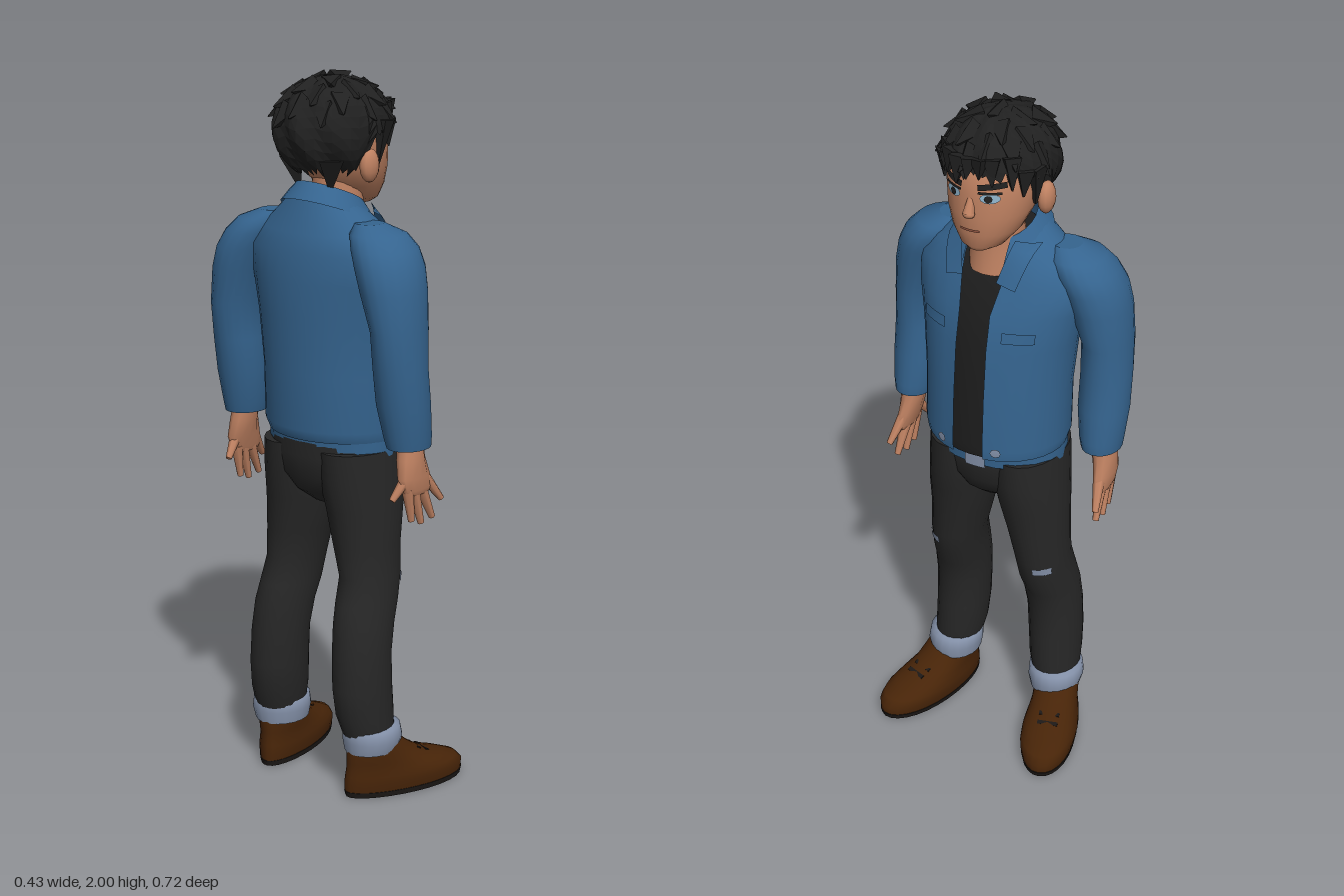
import * as THREE from 'three';

const mat = (name, color, double) => {
  const m = new THREE.MeshStandardMaterial({ color });
  m.name = name;
  if (double) m.side = THREE.DoubleSide;
  return m;
};

export function createModel() {
  const root = new THREE.Group();
  root.name = 'standingMan';
  const denim = mat('blueDenim', 0x35648f, true), trouser = mat('blackDenim', 0x272727);
  const skin = mat('skin', 0xc08262), hair = mat('blackHair', 0x202020, true);
  const leather = mat('brownLeather', 0x472408), sole = mat('darkSole', 0x1c1816);
  const cuff = mat('paleDenim', 0x8592aa, true), shirt = mat('blackShirt', 0x1d1d1d);
  const eye = mat('eyeBlue', 0x8fb4cc, true), lip = mat('lips', 0x965844, true);

  const add = (name, geo, material) => {
    const m = new THREE.Mesh(geo, material);
    m.name = name;
    root.add(m);
    return m;
  };

  // Stacked ellipses [y, cx, cz, rx, rz, tilt]; gap leaves a slot open at +x
  function loft(rings, { seg = 20, gap = 0, taper = 0 } = {}) {
    const rs = [...rings].sort((a, b) => a[0] - b[0]);
    const pos = [], idx = [], n = seg + 1;
    const ring = ([y, cx, cz, rx, rz, tilt = 0]) => {
      const a0 = gap ? Math.asin(Math.min(0.9, (y > 1.5 ? gap * 1.3 : gap) / rz)) : 0;
      for (let j = 0; j < n; j++) {
        const k = gap ? j : j % seg;
        const t = a0 + (2 * Math.PI - 2 * a0) * k / seg;
        const c = Math.cos(t);
        pos.push(cx + rx * c, y + tilt * rx * c, cz + rz * Math.sin(t) * (1 + taper * c));
      }
    };
    rs.forEach(ring);
    for (let i = 0; i < rs.length - 1; i++) for (let j = 0; j < seg; j++) {
      const a = i * n + j, b = gap ? a + 1 : i * n + (j + 1) % seg, c = a + n, d = b + n;
      idx.push(a, c, b, b, c, d);
    }
    if (!gap) for (const top of [0, 1]) {
      const r = rs[top ? rs.length - 1 : 0], base = pos.length / 3;
      ring(r);
      pos.push(r[1], r[0], r[2]);
      for (let j = 0; j < seg; j++)
        top ? idx.push(base + n, base + j + 1, base + j) : idx.push(base + n, base + j, base + j + 1);
    }
    const g = new THREE.BufferGeometry();
    g.setAttribute('position', new THREE.Float32BufferAttribute(pos, 3));
    g.setIndex(idx);
    g.computeVertexNormals();
    return g;
  }

  // Lay a flat shape on the +x face of a loft
  function patch(name, geo, rings, z0, y0, material, off = 0.004) {
    const rs = [...rings].sort((a, b) => a[0] - b[0]), p = geo.attributes.position;
    for (let i = 0; i < p.count; i++) {
      const z = z0 - p.getX(i), y = y0 + p.getY(i);
      let k = 0;
      while (k < rs.length - 2 && rs[k + 1][0] < y) k++;
      const t = THREE.MathUtils.clamp((y - rs[k][0]) / (rs[k + 1][0] - rs[k][0]), 0, 1);
      const [, cx, cz, rx, rz] = rs[k].map((v, q) => v + (rs[k + 1][q] - v) * t);
      p.setXYZ(i, cx + rx * Math.sqrt(Math.max(0, 1 - ((z - cz) / rz) ** 2)) + off, y, z);
    }
    geo.computeVertexNormals();
    add(name, geo, material);
  }

  // Tapered rod from a to b
  function rod(name, a, b, r0, r1, material, sides = 6, flat = 1) {
    const A = new THREE.Vector3(...a), d = new THREE.Vector3(...b).sub(A);
    let g = new THREE.CylinderGeometry(r1, r0, d.length(), sides);
    if (sides < 6) { g = g.toNonIndexed(); g.computeVertexNormals(); }
    const m = add(name, g, material);
    m.scale.z = flat;
    m.quaternion.setFromUnitVectors(new THREE.Vector3(0, 1, 0), d.clone().normalize());
    m.position.copy(A).addScaledVector(d, 0.5);
  }

  function ball(name, x, y, z, rx, ry, rz, material) {
    const m = add(name, new THREE.SphereGeometry(1, 12, 8), material);
    m.position.set(x, y, z);
    m.scale.set(rx, ry, rz);
    return m;
  }

  // Torso: jacket shell open over a shirt
  const jacket = [[1.02, -.025, 0, .17, .2], [1.05, -.03, 0, .178, .207], [1.2, -.035, 0, .175, .207],
    [1.35, -.045, 0, .17, .22], [1.45, -.055, 0, .158, .24], [1.53, -.07, 0, .137, .25],
    [1.58, -.07, 0, .122, .2], [1.63, -.065, 0, .103, .135, -.2], [1.655, -.06, 0, .092, .1, -.4]];
  add('jacket', loft(jacket, { seg: 32, gap: .045 }), denim);
  add('shirt', loft([...jacket.slice(0, 6).map(([y, x, z, a, b]) => [y, x, z, a - .01, b - .014]),
    [1.58, -.07, 0, .105, .17, -.3], [1.6, -.06, 0, .095, .1, -.4]], { seg: 32 }), shirt);
  add('jacketLining', loft([[.975, -.035, 0, .148, .198], [1.06, -.035, 0, .155, .198]]), denim);
  add('collar', loft([[1.615, -.055, 0, .128, .135, -.42], [1.65, -.055, 0, .108, .108, -.42],
    [1.675, -.055, 0, .09, .088, -.42]], { gap: .045 }), denim);

  // Hips
  add('hips', loft([[.82, -.035, 0, .06, .05], [.86, -.038, 0, .11, .12], [.91, -.04, 0, .138, .18],
    [.97, -.04, 0, .146, .195], [1.03, -.04, 0, .146, .19]]), trouser);
  patch('waistTab', new THREE.PlaneGeometry(.06, .04, 4, 2),
    [[.9, -.035, 0, .148, .198], [1.06, -.035, 0, .155, .198]], -.01, .995, cuff, .006);

  // Head and neck
  add('neck', loft([[1.54, -.03, 0, .085, .08], [1.6, -.03, 0, .077, .075], [1.66, -.025, 0, .07, .07],
    [1.72, -.02, 0, .07, .07]]), skin);
  const head = [[1.635, .065, 0, .035, .03], [1.65, .05, 0, .062, .06], [1.69, .025, 0, .095, .092],
    [1.74, .005, 0, .118, .113], [1.8, -.01, 0, .13, .123], [1.86, -.02, 0, .133, .12], [1.92, -.03, 0, .1, .09]];
  add('head', loft(head, { seg: 28 }), skin);
  rod('nose', [.108, 1.805, 0], [.127, 1.752, 0], .006, .017, skin, 8);
  ball('noseTip', .127, 1.752, 0, .014, .012, .017, skin);
  patch('mouth', new THREE.PlaneGeometry(.055, .007, 6, 1), head, 0, 1.705, lip);
  for (const s of [1, -1]) {
    patch('eye', new THREE.CircleGeometry(.022, 12).scale(1.1, .62, 1), head, s * .052, 1.8, eye);
    patch('iris', new THREE.CircleGeometry(.01, 10), head, s * .05, 1.8, hair, .007);
    patch('upperLid', new THREE.PlaneGeometry(.055, .007, 4, 1), head, s * .052, 1.815, hair, .007);
    patch('eyebrow', new THREE.PlaneGeometry(.065, .016, 4, 1).rotateZ(s * -.12), head, s * .055, 1.833, hair, .007);
    ball('ear', -.045, 1.755, s * .13, .032, .045, .022, skin);
  }

  // Hair cap: low at the nape, high at the brow
  let cap = new THREE.SphereGeometry(1, 40, 12);
  const cp = cap.attributes.position, uv = cap.attributes.uv;
  for (let i = 0; i < cp.count; i++) {
    const th = Math.PI - 2 * Math.PI * uv.getX(i), f = Math.cos(th);
    const k = THREE.MathUtils.smoothstep(-f, -.1, .4);
    const p = (1 - uv.getY(i)) * (1.68 - .2 * Math.max(0, f) + .8 * k + .07 * Math.sin(11 * th));
    const r = 1 + .035 * Math.sin(9 * th + 4 * p) * Math.sin(p);
    cp.setXYZ(i, -.043 + .17 * r * Math.sin(p) * f, 1.84 + .142 * r * Math.cos(p),
      .15 * r * Math.sin(p) * Math.sin(th));
  }
  cap = cap.toNonIndexed();
  cap.computeVertexNormals();
  add('hairCap', cap, hair);

  // Tufts over the crown, then fringe and side locks
  for (let i = 0; i < 26; i++) {
    const a = i * 2.4, q = .2 + 1.1 * Math.sqrt(i / 26), c = Math.cos(a), s = Math.sin(a);
    const at = (r, p) => [-.043 + .17 * r * Math.sin(p) * c, 1.84 + .142 * r * Math.cos(p), .15 * r * Math.sin(p) * s];
    rod('hairTuft', at(.85, q - .2), at(1.1, q + .2), .036, .002, hair, 4);
  }
  for (const [z, y, x] of [[.1, 1.825, .075], [.07, 1.845, .11], [.035, 1.83, .128], [.005, 1.85, .132],
    [-.03, 1.855, .128], [-.06, 1.835, .112], [-.1, 1.82, .08]])
    rod('fringeLock', [x - .015, 1.905, z * .85], [x, y, z], .034, .002, hair, 4, .8);
  for (const s of [1, -1]) {
    rod('sideLock', [.01, 1.87, s * .125], [.0, 1.755, s * .122], .035, .004, hair, 4);
    rod('sideLock', [.045, 1.87, s * .115], [.05, 1.795, s * .115], .03, .003, hair, 4);
    rod('napeLock', [-.13, 1.78, s * .07], [-.115, 1.69, s * .055], .045, .006, hair, 4);
  }

  for (const s of [1, -1]) {
    // Jacket lapel and hem button
    patch('lapel', new THREE.PlaneGeometry(.055, .11, 4, 6).rotateZ(s * .25), jacket, s * .09, 1.585, denim, .014);
    patch('hemButton', new THREE.CircleGeometry(.014, 8), jacket, s * .083, 1.05, cuff, .006);
    patch('pocketFlap', new THREE.PlaneGeometry(.08, .03, 4, 1), jacket, s * .125, 1.4, denim, .008);

    // Sleeve
    add('sleeve', loft([[1.615, -.09, .17, .04, .04], [1.59, -.09, .2, .08, .075], [1.555, -.093, .225, .098, .085],
      [1.51, -.1, .248, .104, .085], [1.45, -.105, .266, .1, .081], [1.35, -.108, .288, .09, .066],
      [1.25, -.104, .289, .08, .069], [1.15, -.092, .29, .077, .07], [1.06, -.078, .294, .071, .06],
      [1.03, -.075, .296, .066, .055]].map(r => { r[2] *= s; return r; })), denim);

    // Hand with spread fingers
    add('hand', loft([[1.05, -.075, .3, .04, .033], [1.0, -.078, .305, .046, .033], [.95, -.073, .312, .06, .026],
      [.915, -.062, .315, .058, .02], [.9, -.06, .315, .045, .014]].map(r => { r[2] *= s; return r; }), { seg: 12 }), skin);
    for (const [x0, y0, x1, y1, z1] of [[-.105, .95, -.148, .895, .3], [-.1, .92, -.085, .828, .315],
      [-.075, .915, -.048, .815, .318], [-.045, .915, -.004, .822, .32], [-.03, .94, .022, .87, .33]])
      rod('finger', [x0, y0, s * .313], [x1, y1, s * z1], .017, .009, skin, 7);

    // Trouser leg, turned-up cuff and worn knee
    const leg = [[.16, -.08, .168, .074, .066], [.24, -.092, .16, .09, .074], [.32, -.098, .156, .092, .077],
      [.42, -.096, .152, .09, .078], [.5, -.082, .147, .095, .078], [.56, -.062, .141, .1, .077],
      [.63, -.043, .136, .096, .077], [.72, -.042, .123, .104, .086], [.82, -.037, .111, .118, .098],
      [.91, -.038, .101, .136, .101], [.99, -.04, .098, .14, .098]].map(r => { r[2] *= s; return r; });
    add('trouserLeg', loft(leg), trouser);
    patch('kneeTear', new THREE.PlaneGeometry(.045, .024, 4, 2), leg, s * .175, .61, cuff, .004);
    add('trouserCuff', loft([[.13, -.073, s * .17, .083, .072], [.165, -.073, s * .172, .09, .08],
      [.198, -.075, s * .17, .086, .077], [.203, -.076, s * .17, .07, .06]]), cuff);

    // Shoe, toe turned outward
    const shoe = new THREE.Group();
    shoe.name = 'shoe';
    shoe.position.set(-.075, 0, s * .178);
    shoe.rotation.y = -s * .3;
    root.add(shoe);
    shoe.add(
      add('shoeUpper', loft([[.014, .1, 0, .19, .075], [.04, .1, 0, .191, .08], [.06, .092, 0, .18, .078],
        [.078, .07, 0, .155, .072], [.1, .035, 0, .118, .066], [.13, .012, 0, .095, .064],
        [.155, 0, 0, .078, .06]], { seg: 28, taper: .14 }), leather),
      add('shoeSole', loft([[0, .1, 0, .188, .074], [.016, .1, 0, .192, .077]], { seg: 28, taper: .14 }), sole));
    for (let i = 0; i < 3; i++) {
      const lace = add('lace', new THREE.BoxGeometry(.012, .008, .06), sole);
      lace.position.set(.105 + i * .028, .117 - i * .012, 0);
      lace.rotation.z = -.4;
      shoe.add(lace);
    }
  }
  return root;
}
